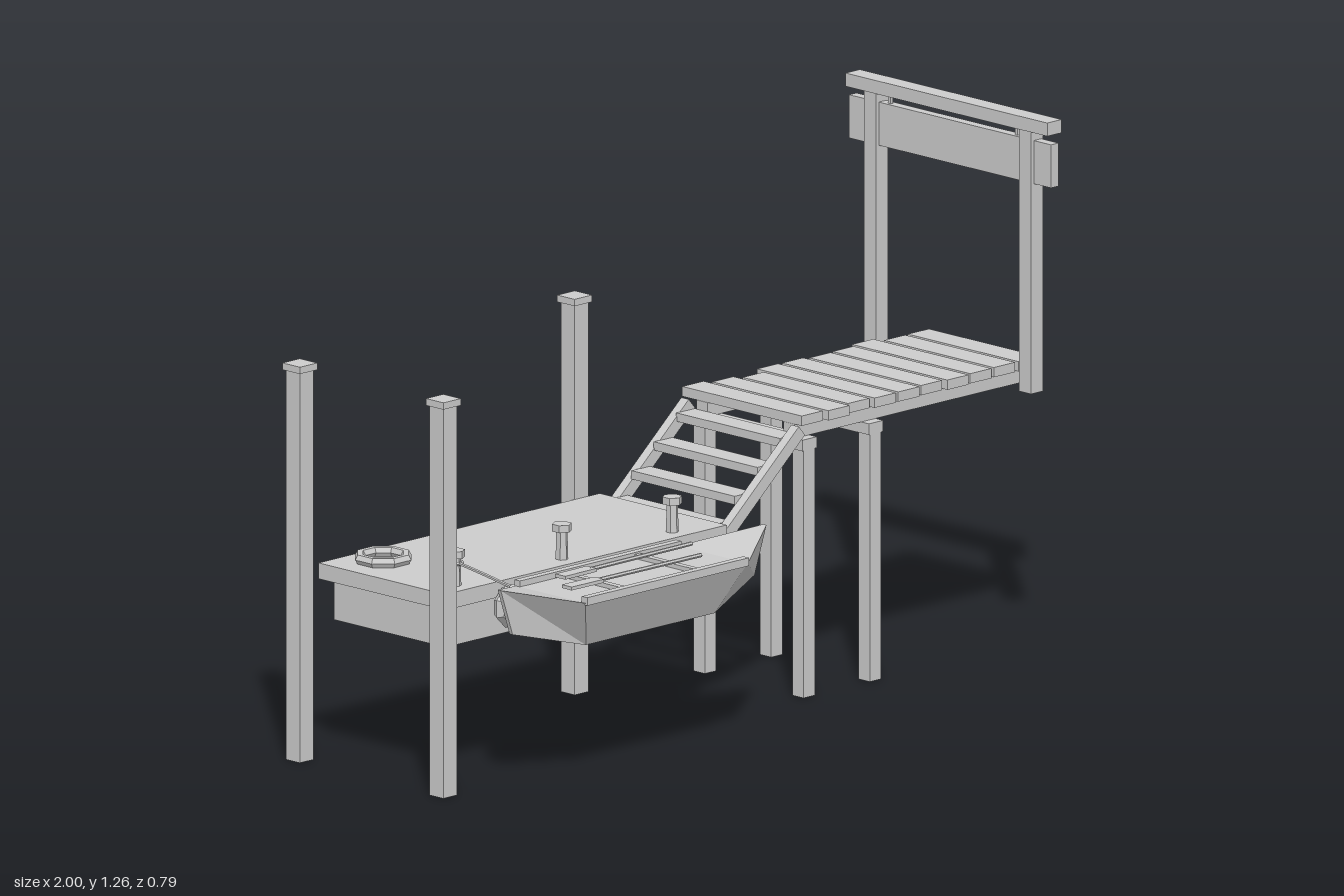
import * as THREE from 'three';

const grey = new THREE.MeshStandardMaterial({ color: 0xcccccc, flatShading: true });
grey.name = 'light grey';

function add(parent, name, geometry, x = 0, y = 0, z = 0) {
  const mesh = new THREE.Mesh(geometry, grey);
  mesh.name = name;
  mesh.position.set(x, y, z);
  parent.add(mesh);
  return mesh;
}

// Box given by its low and high limits on each axis
function box(parent, name, [x0, x1], [y0, y1], [z0, z1]) {
  return add(parent, name, new THREE.BoxGeometry(x1 - x0, y1 - y0, z1 - z0),
    (x0 + x1) / 2, (y0 + y1) / 2, (z0 + z1) / 2);
}

const around = (c, size) => [c - size / 2, c + size / 2];

function group(parent, name) {
  const g = new THREE.Group();
  g.name = name;
  parent.add(g);
  return g;
}

// Closed hull skinned over four-point cross-sections: [x, gunwale y, half width, bottom y, half width]
function hullGeometry(sections) {
  const pos = [], idx = [];
  for (const [x, gy, gw, by, bw] of sections) {
    pos.push(x, gy, gw, x, by, bw, x, by, -bw, x, gy, -gw);
  }
  for (let i = 0; i < sections.length - 1; i++) {
    for (let j = 0; j < 4; j++) {
      const a = i * 4 + j, d = i * 4 + (j + 1) % 4, b = a + 4, c = d + 4;
      idx.push(a, d, c, a, c, b);
    }
  }
  const e = (sections.length - 1) * 4;
  idx.push(0, 3, 2, 0, 2, 1, e, e + 2, e + 3, e, e + 1, e + 2);
  const g = new THREE.BufferGeometry();
  g.setAttribute('position', new THREE.Float32BufferAttribute(pos, 3));
  g.setIndex(idx);
  const flat = g.toNonIndexed();
  flat.computeVertexNormals();
  return flat;
}

function buildFloat(root) {
  const f = group(root, 'floatingDock');
  box(f, 'pontoon', [-0.91, -0.06], [0.324, 0.42], [-0.255, 0.102]);
  box(f, 'deck', [-0.936, -0.036], [0.42, 0.457], [-0.28, 0.128]);

  // Tall mooring posts with caps
  for (const [x, z] of [[-0.973, 0.158], [-0.973, -0.302], [-0.094, -0.302]]) {
    box(f, 'mooringPost', around(x, 0.044), [0, 0.911], around(z, 0.044));
    box(f, 'mooringPostCap', around(x, 0.056), [0.911, 0.927], around(z, 0.056));
  }

  // Hexagonal bollards
  for (const x of [-0.861, -0.519, -0.166]) {
    add(f, 'bollardStem', new THREE.CylinderGeometry(0.013, 0.015, 0.07, 6), x, 0.49, 0.083);
    add(f, 'bollardHead', new THREE.CylinderGeometry(0.023, 0.023, 0.017, 6), x, 0.531, 0.083);
  }

  // Ring lying on the deck
  const ring = add(f, 'lifeRing', new THREE.TorusGeometry(0.056, 0.013, 6, 8), -0.823, 0.467, -0.185);
  ring.rotation.set(-Math.PI / 2, 0, Math.PI / 8);

  // Tyre fenders along the boat side
  for (const x of [-0.743, -0.5, -0.257]) {
    const tyre = add(f, 'tyreFender', new THREE.TorusGeometry(0.035, 0.018, 6, 8), x, 0.4, 0.147);
    tyre.rotation.z = Math.PI / 8;
  }
}

function buildBoat(root) {
  const b = group(root, 'rowingBoat');
  b.position.z = 0.278;
  add(b, 'hull', hullGeometry([
    [-0.914, 0.49, 0.005, 0.38, 0.005],
    [-0.749, 0.45, 0.112, 0.333, 0.058],
    [-0.23, 0.45, 0.112, 0.333, 0.058],
    [-0.064, 0.49, 0.005, 0.38, 0.005],
  ].map((s) => s)));
  // Slant the lower corners inward at every station
  const p = b.children[0].geometry.attributes.position;
  for (let i = 0; i < p.count; i++) {
    if (p.getY(i) > 0.4) continue;
    const x = p.getX(i), inset = p.getY(i) > 0.35 ? 0.038 : 0.054;
    p.setX(i, x - Math.sign(x + 0.49) * inset);
  }
  b.children[0].geometry.computeVertexNormals();

  // Side rails and cross seats
  for (const s of [-1, 1]) box(b, 'gunwaleRail', [-0.749, -0.232], [0.445, 0.464], around(s * 0.108, 0.018));
  for (const x of [-0.61, -0.374]) box(b, 'crossSeat', around(x, 0.016), [0.445, 0.46], [-0.1, 0.1]);

  // Pair of oars
  for (const [x, z, turn] of [[-0.674, -0.045, 0.012], [-0.733, 0.035, -0.01]]) {
    const oar = group(b, 'oar');
    oar.position.set(x, 0.47, z);
    oar.rotation.y = turn;
    box(oar, 'oarBlade', [0, 0.102], [-0.004, 0.004], [-0.016, 0.016]);
    const shaft = add(oar, 'oarShaft', new THREE.CylinderGeometry(0.005, 0.005, 0.33, 6), 0.26, 0, 0);
    shaft.rotation.z = Math.PI / 2;
  }

  // Mooring line from bollard to bow
  const line = new THREE.CatmullRomCurve3([
    new THREE.Vector3(-0.861, 0.512, 0.083),
    new THREE.Vector3(-0.867, 0.503, 0.17),
    new THREE.Vector3(-0.874, 0.49, 0.276),
  ]);
  add(root, 'mooringLine', new THREE.TubeGeometry(line, 8, 0.004, 5));
  const coil = add(root, 'ropeCoil', new THREE.TorusGeometry(0.016, 0.005, 5, 8), -0.861, 0.51, 0.083);
  coil.rotation.x = Math.PI / 2;
}

function buildStairs(root) {
  const s = group(root, 'stairs');
  const x0 = -0.03, y0 = 0.418, x1 = 0.217, y1 = 0.629;
  for (const z of [0.103, -0.25]) {
    const beam = add(s, 'stairStringer',
      new THREE.BoxGeometry(Math.hypot(x1 - x0, y1 - y0), 0.03, 0.024), (x0 + x1) / 2, (y0 + y1) / 2, z);
    beam.rotation.z = Math.atan2(y1 - y0, x1 - x0);
  }
  for (let i = 0; i < 4; i++) {
    box(s, 'stairTread', around(-0.018 + i * 0.072, 0.058), around(0.442 + i * 0.0545, 0.02), [-0.24, 0.092]);
  }
}

function buildPier(root) {
  const p = group(root, 'pier');
  // Planks of slightly uneven length: low and high z of each
  const spans = [[-0.278, 0.105], [-0.26, 0.113], [-0.24, 0.098], [-0.272, 0.105], [-0.27, 0.103],
    [-0.26, 0.098], [-0.264, 0.105], [-0.279, 0.1], [-0.254, 0.098], [-0.256, 0.1]];
  spans.forEach((z, i) => box(p, 'plank', around(0.26 + i * 0.0777, 0.068), [0.637, 0.66], z));
  for (const z of [0.066, -0.214]) box(p, 'pierStringer', [0.225, 0.998], [0.604, 0.637], around(z, 0.035));
  // Trestles
  for (const x of [0.249, 0.461]) {
    box(p, 'trestleBeam', around(x, 0.046), [0.578, 0.604], [-0.26, 0.108]);
    for (const z of [0.088, -0.228]) box(p, 'trestleLeg', around(x, 0.036), [0, 0.578], around(z, 0.036));
  }
}

function buildGate(root) {
  const g = group(root, 'gate');
  for (const z of [0.178, -0.319]) box(g, 'gatePost', around(0.887, 0.038), [0.612, 1.225], around(z, 0.038));
  box(g, 'gateBeam', around(0.888, 0.046), [1.225, 1.256], [-0.395, 0.252]);
  box(g, 'signBoard', around(0.889, 0.024), [1.102, 1.203], [-0.395, 0.252]);
  for (const z of [0.133, -0.274]) box(g, 'signHanger', around(0.889, 0.008), [1.2, 1.228], around(z, 0.008));
}

export function createModel() {
  const root = new THREE.Group();
  root.name = 'boatDock';
  buildFloat(root);
  buildBoat(root);
  buildStairs(root);
  buildPier(root);
  buildGate(root);
  return root;
}
